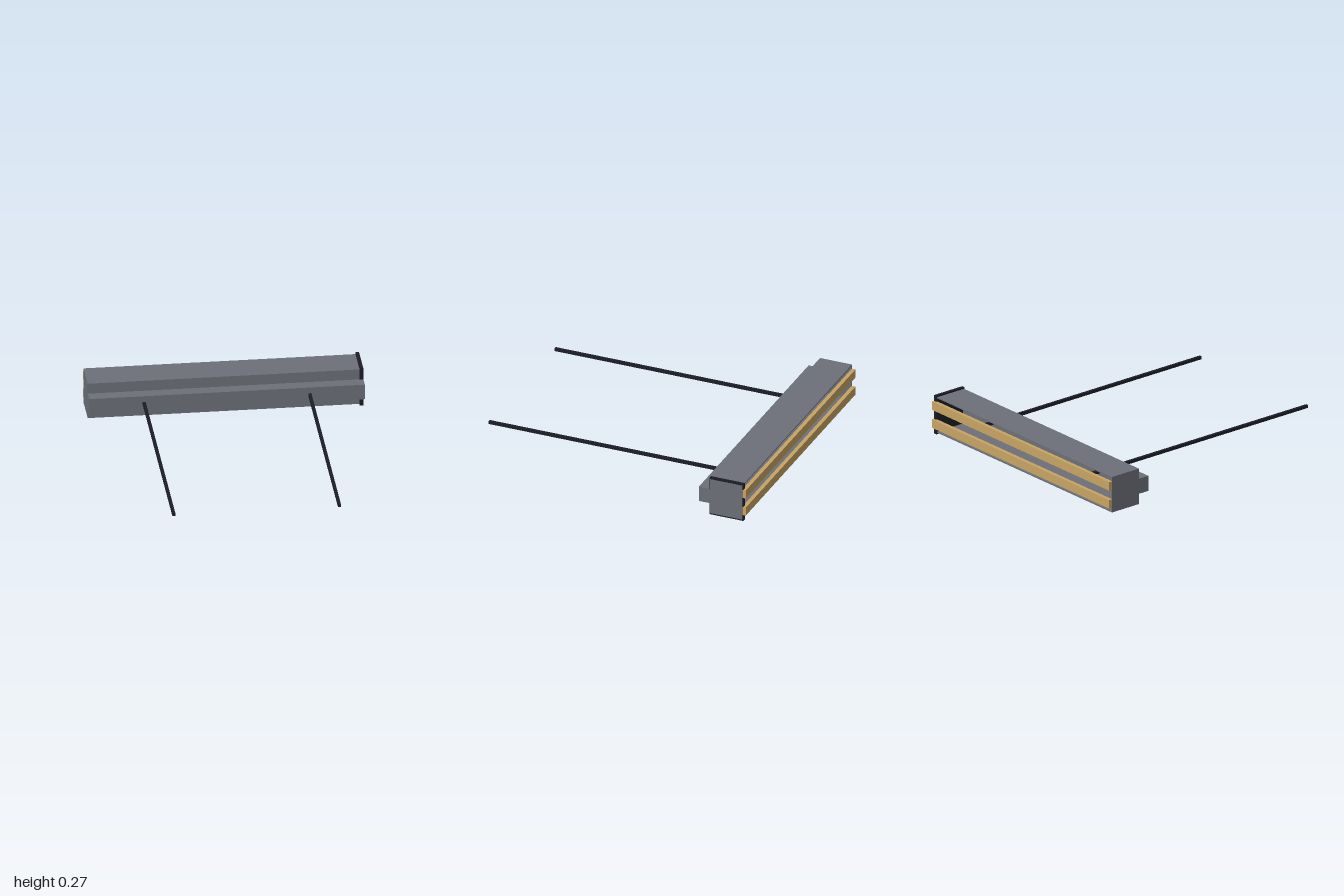
import * as THREE from 'three';

export function createModel() {
  const model = new THREE.Group();
  const mat = (name, color) => {
    const m = new THREE.MeshStandardMaterial({ color });
    m.name = name;
    return m;
  };
  const grey = mat('slate grey', 0x6d7079);
  const tan = mat('tan wood', 0xc8a463);
  const dark = mat('near black', 0x1c1c28);

  // Box given by its lower and upper corners
  const box = (name, material, [x0, y0, z0], [x1, y1, z1]) => {
    const mesh = new THREE.Mesh(new THREE.BoxGeometry(x1 - x0, y1 - y0, z1 - z0), material);
    mesh.position.set((x0 + x1) / 2, (y0 + y1) / 2, (z0 + z1) / 2);
    mesh.name = name;
    model.add(mesh);
    return mesh;
  };

  // Housing: thin channel, open at the back, with a raised strip along the front.
  // Profile points are [-z, y].
  const profile = [
    [0.975, 0.012], [0.975, 0.02], [0.753, 0.02], [0.753, 0.257], [0.975, 0.257], [0.975, 0.265],
    [0.745, 0.265], [0.745, 0.192], [0.663, 0.192], [0.663, 0.085], [0.745, 0.085], [0.745, 0.012],
  ].map(([u, v]) => new THREE.Vector2(u, v));
  const channel = new THREE.ExtrudeGeometry(new THREE.Shape(profile), { depth: 1.83, bevelEnabled: false });
  channel.rotateY(Math.PI / 2).translate(-0.915, 0, 0);
  const housing = new THREE.Mesh(channel, grey);
  housing.name = 'housing';
  model.add(housing);

  // End walls
  for (const [name, x] of [['rightEndWall', -0.915], ['leftEndWall', 0.907]]) {
    box(name, grey, [x, 0.012, -0.975], [x + 0.01, 0.265, -0.746]);
  }

  // Dark end plate, standing slightly proud of the housing
  box('endPlate', dark, [0.89, 0.002, -0.982], [0.914, 0.275, -0.74]);

  // Two long slats across the open back
  for (const [name, y] of [['lowerSlat', 0.046], ['upperSlat', 0.174]]) {
    box(name, tan, [-0.915, y, -1], [0.915, y + 0.06, -0.973]);
  }

  // Two long square rods running forward from inside the housing
  for (const [name, x] of [['rightRod', -0.55], ['leftRod', 0.55]]) {
    box(name, dark, [x - 0.01, 0.13, -0.85], [x + 0.01, 0.15, 1]);
  }

  return model;
}
